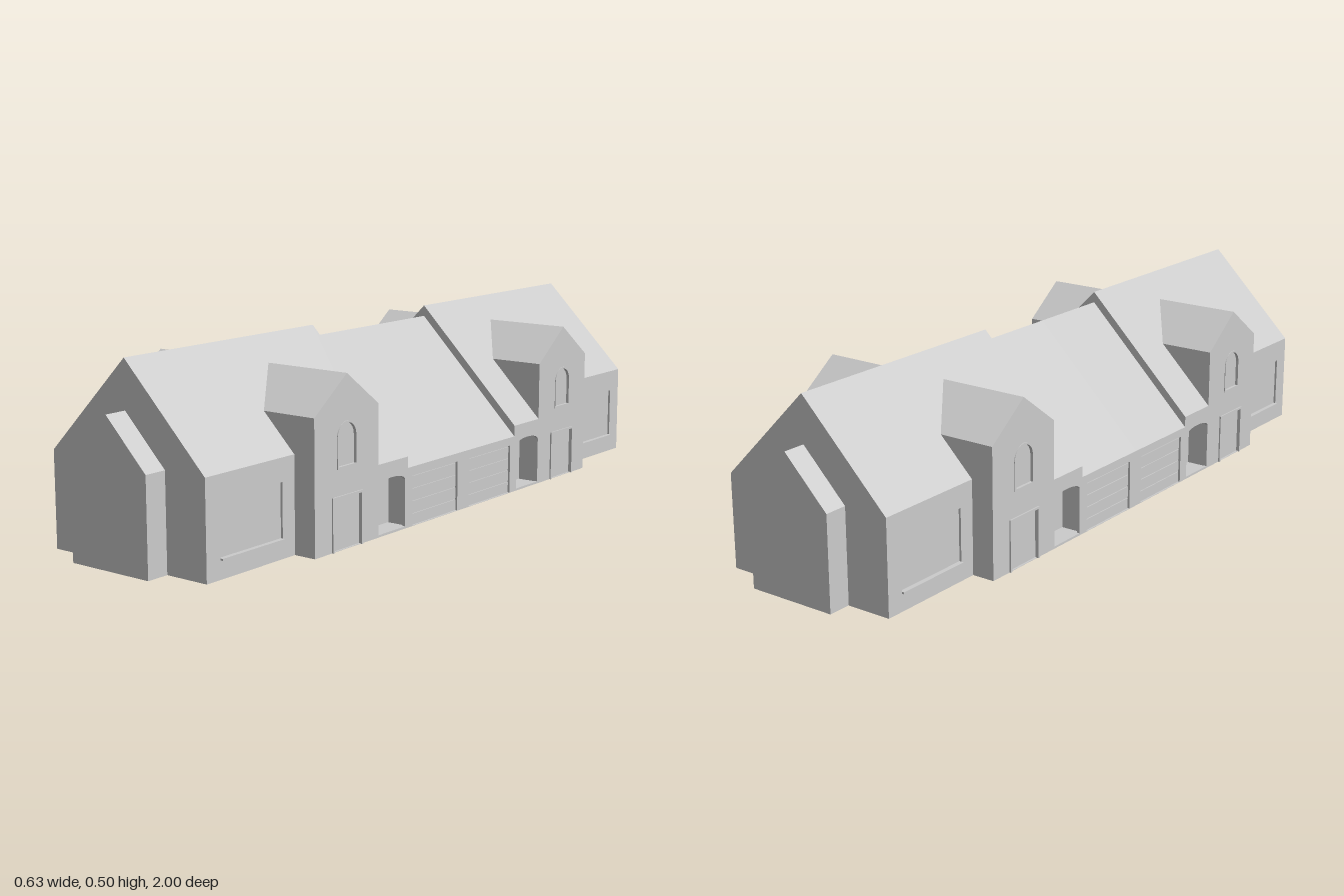
import * as THREE from 'three';

const material = new THREE.MeshStandardMaterial({ color: 0xcccccc, flatShading: true, side: THREE.DoubleSide });

// Main dimensions: the plan repeats in four mirrored quarters
const WING = 0.25, SIDE = 0.3125, END = 0.9375, RIDGE = 0.5, MID_RIDGE = 0.47, VALLEY = 0.155;

const outline = (pts) => new THREE.Shape(pts.map(([a, b]) => new THREE.Vector2(a, b)));
const rect = (z0, z1, y0, y1) => outline([[z0, y0], [z1, y0], [z1, y1], [z0, y1]]);

// Opening with a rounded head
function arch(z0, z1, y0, spring, rise) {
  const s = new THREE.Shape();
  s.moveTo(z0, y0);
  s.lineTo(z1, y0);
  s.lineTo(z1, spring);
  s.absellipse((z0 + z1) / 2, spring, (z1 - z0) / 2, rise, 0, Math.PI, false, 0);
  s.closePath();
  return s;
}

function add(group, name, geometry) {
  const mesh = new THREE.Mesh(geometry, material);
  mesh.name = name;
  group.add(mesh);
  return mesh;
}

// Flat sheet from a 2D outline, placed by a rule (a, b) -> [x, y, z]
function sheet(group, name, pts, place) {
  const g = new THREE.ShapeGeometry(outline(pts));
  const p = g.attributes.position;
  for (let i = 0; i < p.count; i++) p.setXYZ(i, ...place(p.getX(i), p.getY(i)));
  g.computeVertexNormals();
  return add(group, name, g);
}

// Wall slab in the z-y plane whose outer face lies at x, thickened inward
function slab(group, name, shape, x, depth, holes = []) {
  shape.holes.push(...holes);
  const g = new THREE.ExtrudeGeometry(shape, { depth, bevelEnabled: false, curveSegments: 10 });
  g.rotateY(-Math.PI / 2);
  g.translate(x, 0, 0);
  return add(group, name, g);
}

function box(group, name, x0, x1, y0, y1, z0, z1) {
  const g = new THREE.BoxGeometry(x1 - x0, y1 - y0, z1 - z0);
  g.translate((x0 + x1) / 2, (y0 + y1) / 2, (z0 + z1) / 2);
  return add(group, name, g);
}

function buildQuarter() {
  const q = new THREE.Group();
  const atZ = (z) => (x, y) => [x, y, z];
  const onSlope = (ridge) => (z, x) => [x, ridge - x, z];

  // Wing roof, notched for the cross gable and running lower over the porch
  sheet(q, 'wingRoof', [[0.25, 0], [END, 0], [END, WING], [0.625, WING], [0.625, VALLEY],
    [0.5, 0.0625], [0.375, VALLEY], [0.375, SIDE], [0.25, SIDE]], onSlope(RIDGE));

  // Centre roof and the step up to the wing
  sheet(q, 'centreRoof', [[0, 0], [0.25, 0], [0.25, SIDE], [0, SIDE]], onSlope(MID_RIDGE));
  sheet(q, 'roofStep', [[0, MID_RIDGE], [SIDE, MID_RIDGE - SIDE], [SIDE, RIDGE - SIDE], [0, RIDGE]], atZ(0.25));

  // Wing end wall, open to the projecting bay
  sheet(q, 'wingEndWall', [[0.125, 0], [WING, 0], [WING, WING], [0, RIDGE], [0, 0.375], [0.125, 0.25]], atZ(END));

  // Projecting end bay
  sheet(q, 'bayEndWall', [[0, 0], [0.125, 0], [0.125, 0.25], [0, 0.375]], atZ(1));
  sheet(q, 'baySideWall', [[END, 0], [1, 0], [1, 0.25], [END, 0.25]], (z, y) => [0.125, y, z]);
  sheet(q, 'bayRoof', [[END, 0], [1, 0], [1, 0.125], [END, 0.125]], onSlope(0.375));

  // Wing side wall with a wide recessed window
  slab(q, 'wingSideWall', rect(0.625, END, 0, WING), WING, 0.008, [rect(0.67, 0.89, 0.045, 0.19)]);
  slab(q, 'wingWindow', rect(0.67, 0.89, 0.045, 0.19), WING - 0.006, 0.002);
  box(q, 'windowSill', WING - 0.006, WING + 0.007, 0.046, 0.051, 0.67, 0.89);

  // Cross gable: front with door and arched window
  const gable = outline([[0.375, 0], [0.625, 0], [0.625, 0.345], [0.5, 0.4375], [0.375, 0.345]]);
  const door = () => rect(0.446, 0.554, 0, 0.132);
  const windowHole = () => arch(0.466, 0.534, 0.21, 0.282, 0.034);
  slab(q, 'gableWall', gable, SIDE, 0.008, [rect(0.446, 0.554, 0.001, 0.132), windowHole()]);
  slab(q, 'gableDoor', door(), SIDE - 0.006, 0.002);
  slab(q, 'gableWindow', windowHole(), SIDE - 0.006, 0.002);
  slab(q, 'doorFrame', outline([[0.44, 0], [0.446, 0], [0.446, 0.132], [0.554, 0.132],
    [0.554, 0], [0.56, 0], [0.56, 0.138], [0.44, 0.138]]), SIDE + 0.004, 0.008);
  slab(q, 'windowFrame', arch(0.461, 0.539, 0.205, 0.282, 0.039), SIDE + 0.002, 0.006, [windowHole()]);

  // Cross gable sides and roof
  sheet(q, 'gableOuterSide', [[WING, 0], [SIDE, 0], [SIDE, 0.345], [VALLEY, 0.345], [WING, WING]], atZ(0.625));
  sheet(q, 'gableInnerSide', [[SIDE, RIDGE - SIDE], [SIDE, 0.345], [VALLEY, 0.345]], atZ(0.375));
  for (const s of [-1, 1]) {
    sheet(q, 'gableRoof', [[VALLEY, 1], [SIDE, 1], [SIDE, 0], [0.0625, 0]],
      (x, t) => [x, 0.4375 - t * 0.0925, 0.5 + s * t * 0.125]);
  }

  // Porch behind an arched opening
  slab(q, 'porchWall', rect(0.25, 0.375, 0, RIDGE - SIDE), SIDE, 0.008, [arch(0.262, 0.373, 0.006, 0.13, 0.016)]);
  box(q, 'porchFloor', WING, SIDE - 0.001, 0, 0.005, 0.251, 0.374);
  sheet(q, 'porchBackWall', [[0.25, 0], [0.375, 0], [0.375, WING], [0.25, WING]], (z, y) => [WING, y, z]);
  sheet(q, 'porchSideWall', [[WING, 0], [SIDE, 0], [SIDE, RIDGE - SIDE], [WING, WING]], atZ(0.375));
  sheet(q, 'porchSideWall', [[WING, 0], [SIDE, 0], [SIDE, MID_RIDGE - SIDE], [WING, MID_RIDGE - WING]], atZ(0.25));

  // Centre wall with a recessed slatted garage door
  slab(q, 'centreWall', rect(0, 0.25, 0, MID_RIDGE - SIDE), SIDE, 0.008, [rect(0.027, 0.229, 0.001, 0.135)]);
  slab(q, 'garageDoor', rect(0.027, 0.229, 0, 0.135), SIDE - 0.007, 0.002);
  for (let i = 0; i < 4; i++) {
    const y = 0.002 + i * 0.0333;
    box(q, 'garageDoorPanel', SIDE - 0.008, SIDE - 0.004, y, y + 0.029, 0.03, 0.226);
  }
  return q;
}

export function createModel() {
  const model = new THREE.Group();
  model.name = 'building';
  for (const [sx, sz, name] of [[1, 1, 'frontLeftQuarter'], [-1, 1, 'frontRightQuarter'],
    [1, -1, 'backLeftQuarter'], [-1, -1, 'backRightQuarter']]) {
    const quarter = buildQuarter();
    quarter.name = name;
    quarter.scale.set(sx, 1, sz);
    model.add(quarter);
  }
  return model;
}
